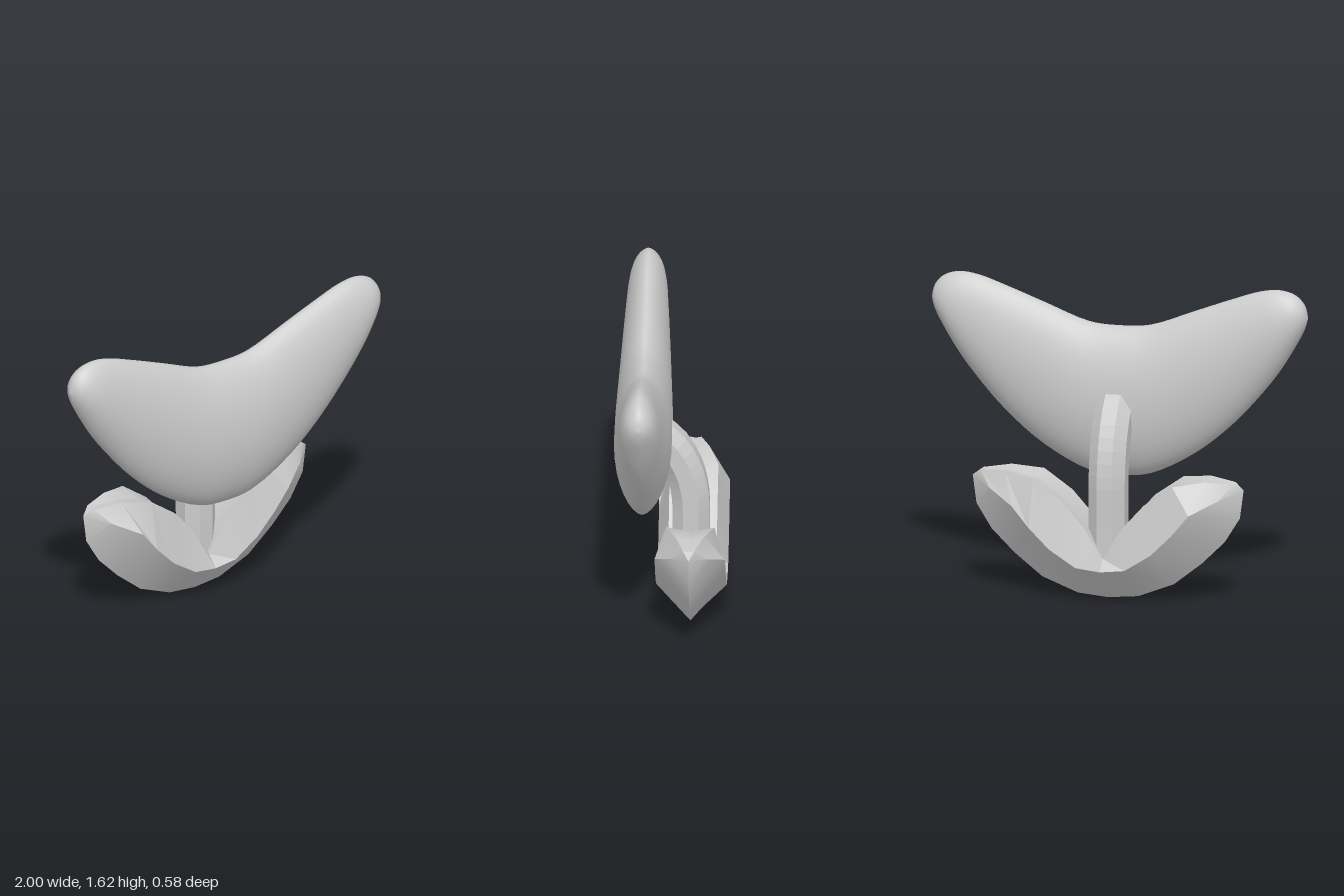
import * as THREE from 'three';
import { mergeVertices, toCreasedNormals } from 'three/addons/utils/BufferGeometryUtils.js';

const material = new THREE.MeshStandardMaterial({ color: 0xcccccc });
const flatMaterial = new THREE.MeshStandardMaterial({ color: 0xcccccc, flatShading: true });

// Skin closed cross-section loops ordered along +x
function loft(loops) {
  const n = loops[0].length, index = [];
  for (let i = 0; i < loops.length - 1; i++) {
    for (let j = 0; j < n; j++) {
      const k = (j + 1) % n;
      const a = i * n + j, b = a + n, c = (i + 1) * n + k, d = i * n + k;
      index.push(a, b, d, b, c, d);
    }
  }
  const geo = new THREE.BufferGeometry();
  geo.setAttribute('position', new THREE.Float32BufferAttribute(loops.flat(2), 3));
  geo.setIndex(index);
  const merged = mergeVertices(geo, 1e-4);
  merged.computeVertexNormals();
  return merged;
}

// Extend rows given for x >= 0 to the full width
const mirrorRows = (rows) => [...rows.slice(1).reverse().map(([x, ...r]) => [-x, ...r]), ...rows];

// Winged cushion: lens sections between an upper and a lower outline
function cushion() {
  const half = [0.15, 0.148, 0.135, 0.122, 0.11, 0.1, 0.08, 0.045, 0];
  const upper = [[0, 1.385], [0.16, 1.397], [0.4, 1.485], [0.6, 1.56], [0.75, 1.61],
    [0.85, 1.622], [0.93, 1.6], [0.98, 1.55], [1, 1.48]];
  const lower = [[0, 0.59], [0.16, 0.607], [0.4, 0.73], [0.6, 0.895], [0.75, 1.06],
    [0.85, 1.19], [0.93, 1.32], [0.98, 1.415], [1, 1.48]];
  const curve = (pts) => new THREE.CatmullRomCurve3(
    mirrorRows(pts.map((p, i) => [...p, half[i]])).map((p) => new THREE.Vector3(...p)));
  const top = curve(upper), bottom = curve(lower);
  const loops = [], steps = 64, sides = 32;
  for (let i = 0; i <= steps; i++) {
    const t = top.getPoint(i / steps), b = bottom.getPoint(i / steps);
    const loop = [];
    for (let j = 0; j < sides; j++) {
      const a = (j / sides) * Math.PI * 2, s = Math.sin(a);
      const p = b.clone().lerp(t, (1 - Math.cos(a)) / 2);
      const depth = Math.max(0, p.z) * Math.sign(s) * Math.pow(Math.abs(s), 1.2);
      loop.push([p.x, p.y, 0.14 + depth]);
    }
    loops.push(loop);
  }
  return loft(loops);
}

// Pair of faceted leaves joined at the keel
function leaves() {
  const z0 = -0.112;
  // keel x,y | widest edge x,y,half depth | lip x,y,half depth
  const stations = [
    [0, 0, 0, 0.175, 0.182, 0, 0.235, 0.125],
    [0.16, 0.015, 0.13, 0.19, 0.182, 0.1, 0.395, 0.125],
    [0.35, 0.09, 0.27, 0.28, 0.182, 0.22, 0.53, 0.125],
    [0.5, 0.21, 0.38, 0.39, 0.182, 0.37, 0.635, 0.125],
    [0.62, 0.33, 0.47, 0.5, 0.182, 0.53, 0.66, 0.075],
    [0.7, 0.46, 0.61, 0.57, 0.095, 0.67, 0.645, 0.03],
    [0.72, 0.61, 0.72, 0.61, 0, 0.72, 0.61, 0],
  ];
  const section = ([kx, ky, mx, my, mz, lx, ly, lz], side) => [
    [side * kx, ky, z0],
    [side * mx, my, z0 + mz],
    [side * lx, ly, z0 + lz],
    [side * lx, ly - lz * 0.2, z0],
    [side * lx, ly, z0 - lz],
    [side * mx, my, z0 - mz],
  ];
  const loops = [
    ...stations.slice(1).reverse().map((s) => section(s, -1)),
    ...stations.map((s) => section(s, 1)),
  ];
  return toCreasedNormals(loft(loops), 0.45);
}

// Octagonal stem bending forward into the cushion
function stem() {
  const path = new THREE.CatmullRomCurve3(
    [[0.12, -0.105], [0.4, -0.105], [0.65, -0.103], [0.8, -0.07], [0.92, -0.005], [1.0, 0.08]]
      .map(([y, z]) => new THREE.Vector3(0, y, z)));
  const octagon = new THREE.Shape(Array.from({ length: 8 }, (_, i) => {
    const a = ((i + 0.5) / 8) * Math.PI * 2;
    return new THREE.Vector2(Math.cos(a) * 0.104, Math.sin(a) * 0.104);
  }));
  return new THREE.ExtrudeGeometry(octagon, { steps: 16, extrudePath: path, bevelEnabled: false });
}

export function createModel() {
  const model = new THREE.Group();
  const add = (name, geometry, mat) => {
    const mesh = new THREE.Mesh(geometry, mat);
    mesh.name = name;
    model.add(mesh);
  };
  add('wingedCushion', cushion(), material);
  add('leafBase', leaves(), material);
  add('stem', stem(), flatMaterial);
  return model;
}
